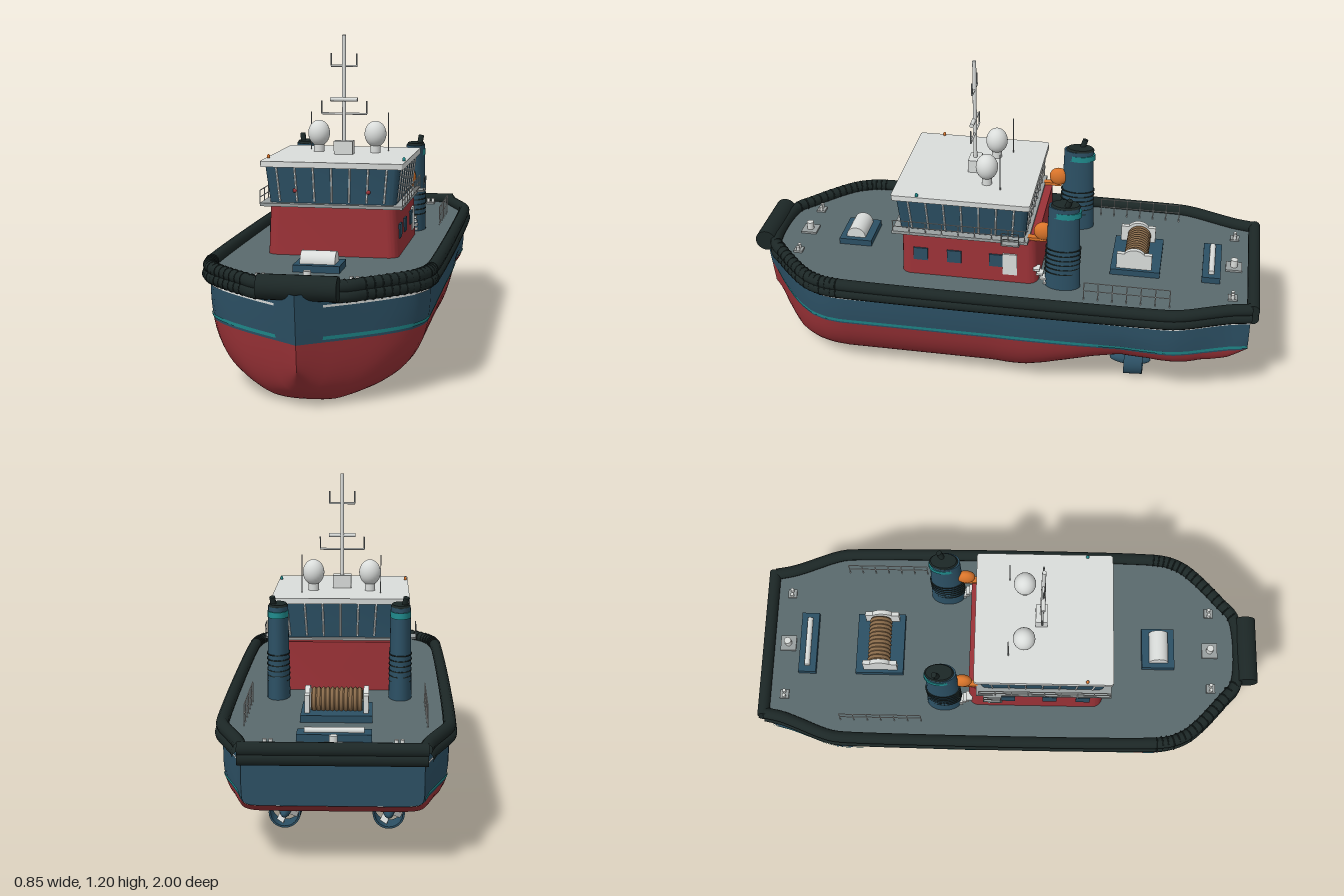
import * as THREE from 'three';
import { toCreasedNormals } from 'three/addons/utils/BufferGeometryUtils.js';

const paint = (name, color) => Object.assign(new THREE.MeshStandardMaterial({ color }), { name });

// Linear lookup in a table of [z, value] pairs
function lookup(table, z) {
  for (let i = 1; i < table.length; i++) {
    const [z0, v0] = table[i - 1], [z1, v1] = table[i];
    if (z <= z1) return v0 + (v1 - v0) * Math.max(0, (z - z0) / (z1 - z0));
  }
  return table[table.length - 1][1];
}
const BEAM = [[-0.97, 0.297], [-0.9, 0.312], [-0.85, 0.33], [-0.8, 0.35], [-0.75, 0.37], [-0.7, 0.385], [-0.65, 0.39], [0.58, 0.39],
  [0.64, 0.381], [0.7, 0.354], [0.75, 0.312], [0.8, 0.26], [0.85, 0.202], [0.9, 0.14], [0.95, 0.072], [1, 0]];
const KEEL = [[-0.97, 0.23], [-0.9, 0.187], [-0.76, 0.162], [-0.6, 0.157], [-0.5, 0.145], [-0.4, 0.115], [-0.3, 0.075],
  [-0.2, 0.035], [-0.13, 0.013], [-0.07, 0.006], [0.8, 0.006], [0.84, 0.016], [0.92, 0.053], [0.96, 0.1], [1, 0.15]];
const FULLNESS = [[-0.97, 16], [-0.8, 7], [-0.5, 4], [0, 3], [1, 3]];
const DECK = 0.41, WATER = 0.24;

// Point on the hull side at station z and height y
function hullPoint(z, y, side, off = 0) {
  const k = lookup(KEEL, z), t = Math.min(1, Math.max(0, (y - k) / (DECK - k)));
  const p = lookup(FULLNESS, z);
  const x = lookup(BEAM, z) * Math.pow(1 - Math.pow(1 - t, p), 1 / p);
  const rake = 0.12 * (DECK - y) * THREE.MathUtils.smoothstep(z, 0.75, 1);
  return [side * (x + off), y, z - rake];
}

// Skin of one hull side between two heights
function hullSkin(side, rows, yAt, z0 = -0.97, z1 = 1, off = 0) {
  const pos = [], idx = [], n = 80;
  for (let i = 0; i <= n; i++) {
    const z = z0 + (z1 - z0) * i / n;
    for (let j = 0; j <= rows; j++) pos.push(...hullPoint(z, yAt(z, j / rows), side, off));
  }
  for (let i = 0; i < n; i++) for (let j = 0; j < rows; j++) {
    const a = i * (rows + 1) + j, c = a + 1, b = a + rows + 1, d = b + 1;
    idx.push(...(side > 0 ? [a, c, b, b, c, d] : [a, b, c, b, d, c]));
  }
  const g = new THREE.BufferGeometry();
  g.setAttribute('position', new THREE.Float32BufferAttribute(pos, 3));
  g.setIndex(idx);
  g.computeVertexNormals();
  return g;
}

// Rounded block standing on y = 0 whose top is scaled by sx, sz
function house(w, d, h, r, sx, sz) {
  const s = new THREE.Shape(), x = w / 2, y = d / 2;
  s.moveTo(-x + r, -y).lineTo(x - r, -y).absarc(x - r, -y + r, r, -Math.PI / 2, 0)
    .absarc(x - r, y - r, r, 0, Math.PI / 2).absarc(-x + r, y - r, r, Math.PI / 2, Math.PI)
    .absarc(-x + r, -y + r, r, Math.PI, Math.PI * 1.5);
  const g = new THREE.ExtrudeGeometry(s, { depth: h, bevelEnabled: false, curveSegments: 6 });
  g.rotateX(-Math.PI / 2);
  const p = g.attributes.position;
  for (let i = 0; i < p.count; i++) {
    const t = p.getY(i) / h;
    p.setX(i, p.getX(i) * (1 + (sx - 1) * t));
    p.setZ(i, p.getZ(i) * (1 + (sz - 1) * t));
  }
  return toCreasedNormals(g, 0.6);
}

export function createModel() {
  const red = paint('red paint', 0x9b3237), blue = paint('navy paint', 0x2c5064), teal = paint('teal trim', 0x1f8a8c);
  const rubber = paint('black rubber', 0x1c2726), deckGrey = paint('deck grey', 0x5a6a6d), white = paint('white paint', 0xdadddb);
  const steel = paint('steel', 0x999f9f), orange = paint('safety orange', 0xd9742a), rope = paint('rope brown', 0x8c6d4c);
  const model = new THREE.Group();
  model.name = 'tugboat';

  const add = (name, geo, mat, x = 0, y = 0, z = 0) => {
    const m = new THREE.Mesh(geo, mat);
    m.name = name;
    m.position.set(x, y, z);
    model.add(m);
    return m;
  };
  const box = (name, mat, w, h, d, x, y, z) => add(name, new THREE.BoxGeometry(w, h, d), mat, x, y, z);
  const ball = (name, mat, rx, ry, rz, x, y, z) => add(name, new THREE.SphereGeometry(1, 24, 16).scale(rx, ry, rz), mat, x, y, z);
  const rod = (name, mat, r, a, b, sides = 8) => {
    const va = new THREE.Vector3(...a), dir = new THREE.Vector3(...b).sub(va);
    const m = add(name, new THREE.CylinderGeometry(r, r, dir.length(), sides), mat);
    m.position.copy(va).addScaledVector(dir, 0.5);
    m.quaternion.setFromUnitVectors(new THREE.Vector3(0, 1, 0), dir.normalize());
    return m;
  };

  // Hull, stripes
  for (const s of [1, -1]) {
    add('hullBottom', hullSkin(s, 16, (z, u) => { const k = lookup(KEEL, z); return k + (WATER - k) * u ** 2.5; }), red);
    add('hullSide', hullSkin(s, 4, (z, u) => WATER + (DECK - WATER) * u), blue);
    add('waterlineStripe', hullSkin(s, 1, (z, u) => 0.249 + 0.012 * u, -0.97, 0.945, 0.003), teal);
    add('sheerStripe', hullSkin(s, 1, (z, u) => 0.36 + 0.008 * u, -0.97, 0.945, 0.003), white);
  }
  // Transom
  const edge = [];
  for (let i = 0; i <= 12; i++) edge.push(hullPoint(-0.97, 0.23 + (DECK - 0.23) * (i / 12) ** 2.5, 1));
  const outline = [...edge, ...edge.slice(1).reverse().map(([x, y]) => [-x, y])];
  const transom = new THREE.Shape(outline.map(([x, y]) => new THREE.Vector2(x, y)));
  add('transom', new THREE.ShapeGeometry(transom).rotateY(Math.PI), blue, 0, 0, -0.97);

  // Deck
  const rim = BEAM.slice(0, -1);
  const loop = [...rim, ...rim.slice().reverse().map(([z, w]) => [z, -w])];
  const deck = new THREE.Shape(loop.map(([z, w]) => new THREE.Vector2(w, -z)));
  add('deck', new THREE.ShapeGeometry(deck).rotateX(-Math.PI / 2), deckGrey, 0, DECK);

  // Rubber fenders along the sides and across the stern, finely ribbed at the bow
  for (const [y, out] of [[0.392, 0.004], [0.423, 0]]) {
    const pts = loop.filter(([z]) => z < 0.94).map(([z, w]) => new THREE.Vector3(w + Math.sign(w) * out, y, z));
    const path = new THREE.CatmullRomCurve3(pts);
    add('sideFender', new THREE.TubeGeometry(path, 200, 0.0228, 12), rubber);
    rod('sternFender', rubber, 0.0235, [-0.308, y, -0.976], [0.308, y, -0.976], 16);
    for (const s of [1, -1]) for (let i = 0; i < 16; i++) {
      const z = 0.58 + i * 0.021, slope = (lookup(BEAM, z + 0.02) - lookup(BEAM, z - 0.02)) / 0.04;
      const ring = add('fenderRib', new THREE.TorusGeometry(0.0225, 0.0025, 5, 14), rubber, s * (lookup(BEAM, z) + out), y, z);
      ring.rotation.y = s * Math.atan(slope);
    }
  }
  rod('bowFender', rubber, 0.042, [-0.133, 0.423, 0.945], [0.133, 0.423, 0.945], 24);

  // Deckhouse and wheelhouse
  add('deckhouse', house(0.485, 0.53, 0.185, 0.04, 0.97, 0.98), red, 0, DECK, 0.1);
  box('bridgeDeck', steel, 0.525, 0.012, 0.52, 0, 0.598, 0.13);
  add('wheelhouse', house(0.465, 0.48, 0.135, 0.025, 1.07, 1.05), blue, 0, 0.602, 0.125);
  add('roof', house(0.525, 0.525, 0.021, 0.012, 1, 1), white, 0, 0.736, 0.126);
  for (let i = -3; i <= 3; i++) {
    const x = i * 0.064;
    rod('frontMullion', white, 0.0035, [x, 0.61, 0.367], [x * 1.06, 0.735, 0.379]);
    rod('backMullion', white, 0.0035, [x, 0.61, -0.117], [x * 1.06, 0.735, -0.129]);
    for (const s of [1, -1]) rod('sideMullion', white, 0.0035, [s * 0.2345, 0.61, 0.125 + x], [s * 0.25, 0.735, 0.125 + x * 1.05]);
  }
  for (const s of [1, -1]) {
    for (const z of [0.285, 0.155, -0.008]) box('cabinWindow', blue, 0.008, 0.052, 0.055, s * 0.24, 0.5, z);
    box('door', white, 0.008, 0.09, 0.055, s * 0.241, 0.488, -0.06);
    for (let i = 0; i < 4; i++) box('stairTread', white, 0.036, 0.008, 0.025, s * 0.227, 0.42 + i * 0.018, -0.2 + i * 0.013);
    // Bridge rails and wing rail
    for (const y of [0.625, 0.65]) {
      rod('bridgeRail', white, 0.002, [s * 0.262, y, 0.385], [s * 0.262, y, -0.12], 6);
      rod('wingRail', steel, 0.002, [s * 0.287, y, -0.1], [s * 0.287, y, -0.035], 6);
    }
    for (let i = 0; i < 9; i++) rod('bridgeRailPost', white, 0.002, [s * 0.262, 0.6, 0.385 - i * 0.063], [s * 0.262, 0.65, 0.385 - i * 0.063], 6);
    box('bridgeWing', steel, 0.028, 0.006, 0.07, s * 0.274, 0.598, -0.067);
    for (const z of [-0.1, -0.035]) rod('wingPost', steel, 0.002, [s * 0.287, 0.6, z], [s * 0.287, 0.65, z], 6);
    ball('deckLamp', red, 0.008, 0.008, 0.008, s * 0.135, 0.65, 0.37);
    ball('sideLamp', s > 0 ? teal : orange, 0.006, 0.009, 0.006, s * 0.253, 0.762, 0.29);

    // Funnels, raked slightly aft, with exhausts and louvres
    const funnel = (name, mat, r0, r1, y0, y1) => add(name, new THREE.CylinderGeometry(r1, r0, y1 - y0, 28).scale(0.63, 1, 1),
      mat, s * 0.226, (y0 + y1) / 2, -0.255 - 0.03 * ((y0 + y1) / 2 - DECK));
    funnel('funnel', blue, 0.068, 0.058, DECK, 0.755);
    funnel('funnelBand', teal, 0.0615, 0.0605, 0.715, 0.738);
    funnel('funnelCap', rubber, 0.056, 0.05, 0.755, 0.763);
    rod('exhaust', rubber, 0.011, [s * 0.24, 0.75, -0.27], [s * 0.246, 0.79, -0.283], 12);
    for (let i = 0; i < 6; i++) funnel('louvre', rubber, 0.068, 0.068, 0.475 + i * 0.02, 0.479 + i * 0.02);
    ball('liferaft', orange, 0.022, 0.037, 0.037, s * 0.215, 0.632, -0.183);
    box('raftBracket', orange, 0.025, 0.012, 0.07, s * 0.215, 0.6, -0.16);

    // Radar domes and whip aerials
    ball('radarDome', white, 0.042, 0.05, 0.042, s * 0.11, 0.828, 0.05);
    rod('domePedestal', white, 0.02, [s * 0.11, 0.755, 0.05], [s * 0.11, 0.795, 0.05], 16);
    rod('whipAerial', steel, 0.002, [s * 0.152, 0.755, -0.008], [s * 0.152, 0.905, -0.008], 6);
    // Mast uprights
    rod('mastAerial', steel, 0.003, [s * 0.049, 1.09, 0.115], [s * 0.049, 1.137, 0.115], 6);
    rod('mastAerial', steel, 0.003, [s * 0.086, 0.91, 0.115], [s * 0.086, 0.958, 0.115], 6);

    // Aft deck rails
    for (const y of [0.45, 0.485]) rod('deckRail', white, 0.002, [s * 0.315, y, -0.67], [s * 0.315, y, -0.35], 6);
    for (let i = 0; i < 7; i++) rod('deckRailPost', white, 0.002, [s * 0.315, DECK, -0.67 + i * 0.0533], [s * 0.315, 0.485, -0.67 + i * 0.0533], 6);

    // Thrusters: strut, pod, nozzle ring and blades
    const px = s * 0.185, py = 0.066, pz = -0.545;
    rod('thrusterStrut', steel, 0.016, [px, 0.06, -0.535], [px, 0.175, -0.535], 16);
    ball('thrusterPod', blue, 0.022, 0.024, 0.08, px, py, -0.53);
    const ring = [[0.05, -0.036], [0.057, -0.036], [0.061, 0.036], [0.05, 0.036], [0.05, -0.036]].map(([x, y]) => new THREE.Vector2(x, y));
    add('nozzle', toCreasedNormals(new THREE.LatheGeometry(ring, 32).rotateX(Math.PI / 2), 0.6), blue, px, py, pz);
    for (let i = 0; i < 4; i++) {
      const g = new THREE.BoxGeometry(0.03, 0.045, 0.004).rotateY(0.6).translate(0, 0.026, 0).rotateZ(i * Math.PI / 2 + 0.4);
      add('propellerBlade', g, white, px, py, pz);
    }
  }

  // Mast
  box('mastBase', white, 0.072, 0.05, 0.045, 0, 0.782, 0.115);
  rod('mast', white, 0.0075, [0, 0.79, 0.115], [0, 1.206, 0.115], 12);
  rod('upperYard', white, 0.004, [-0.05, 1.09, 0.115], [0.05, 1.09, 0.115]);
  rod('lowerYard', white, 0.004, [-0.087, 0.91, 0.115], [0.087, 0.91, 0.115]);
  rod('radarScanner', white, 0.008, [-0.052, 0.964, 0.118], [0.052, 0.964, 0.118], 12);

  // Aft towing winch
  box('winchBase', blue, 0.25, 0.025, 0.19, 0, 0.422, -0.525);
  rod('ropeDrum', rope, 0.04, [-0.09, 0.468, -0.525], [0.09, 0.468, -0.525], 24);
  for (let i = 0; i < 11; i++) add('ropeTurn', new THREE.TorusGeometry(0.039, 0.007, 6, 20).rotateY(Math.PI / 2), rope, -0.08 + i * 0.016, 0.468, -0.525);
  for (const s of [1, -1]) {
    box('winchCheek', white, 0.018, 0.065, 0.135, s * 0.103, 0.466, -0.52);
    rod('winchFlange', white, 0.049, [s * 0.094, 0.468, -0.52], [s * 0.112, 0.468, -0.52], 24);
  }
  // Stern roller and bow winch
  box('sternRollerBase', blue, 0.25, 0.025, 0.07, 0, 0.422, -0.815);
  rod('sternRoller', white, 0.011, [-0.1, 0.44, -0.815], [0.1, 0.44, -0.815], 16);
  box('bowWinchBase', blue, 0.165, 0.025, 0.13, 0, 0.422, 0.59);
  rod('bowWinchDrum', white, 0.038, [-0.062, 0.438, 0.592], [0.062, 0.438, 0.592], 24);

  // Bitts and bollards on plates
  for (const [x, z, w] of [[0, -0.9, 0.062], [0, 0.8, 0.062], [0.215, -0.9, 0.035], [-0.215, -0.9, 0.035], [0.16, 0.8, 0.035], [-0.16, 0.8, 0.035]]) {
    box('bittPlate', steel, w, 0.01, w, x, 0.413, z);
    if (w > 0.05) rod('bitt', white, 0.014, [x, 0.41, z], [x, 0.448, z], 12);
    else for (const s of [1, -1]) rod('bollard', white, 0.007, [x + s * 0.01, 0.41, z], [x + s * 0.01, 0.435, z], 10);
  }
  return model;
}
